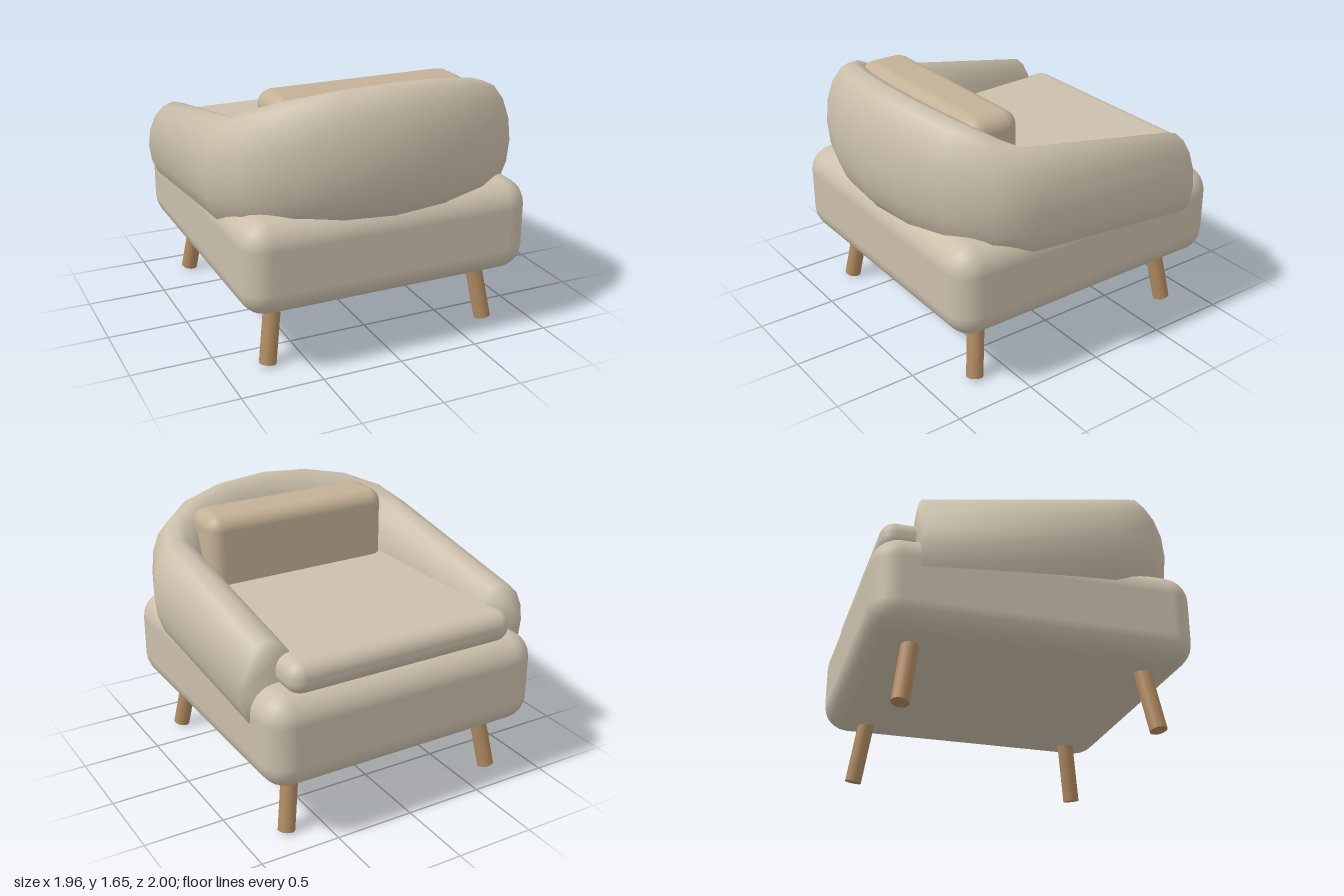
import * as THREE from 'three';
import { RoundedBoxGeometry } from 'three/addons/geometries/RoundedBoxGeometry.js';

const fabric = new THREE.MeshStandardMaterial({ color: 0xcbbfab });
const pillow = new THREE.MeshStandardMaterial({ color: 0xc3b196 });
const wood = new THREE.MeshStandardMaterial({ color: 0xb08a60 });

function addMesh(group, name, geometry, material, x = 0, y = 0, z = 0) {
  const mesh = new THREE.Mesh(geometry, material);
  mesh.name = name;
  mesh.position.set(x, y, z);
  group.add(mesh);
  return mesh;
}

// Elliptical roll swept along a U: straight arm, half-ellipse back, straight arm
function wrapGeometry() {
  const SIDES = 16, ARC = 8, HALF_WIDTH = 0.18;
  const END_Z = -0.74, TURN_Z = 0.42;
  const stations = [{ x: 0.8, z: END_Z, nx: 1, nz: 0, cy: 0.95, h: 0.275 }];
  for (let i = 0; i <= ARC; i++) {
    const a = (i / ARC) * Math.PI, c = Math.cos(a), s = Math.sin(a);
    const n = Math.hypot(0.4 * c, 0.8 * s);
    stations.push({
      x: 0.8 * c, z: TURN_Z + 0.4 * s,
      nx: 0.4 * c / n, nz: 0.8 * s / n,
      cy: 1.1 + 0.15 * s, h: 0.34 + 0.06 * s,
    });
  }
  stations.push({ ...stations[0], x: -0.8, nx: -1 });

  const pos = [], index = [];
  for (const p of stations) {
    for (let j = 0; j < SIDES; j++) {
      const t = (j / SIDES) * Math.PI * 2, r = HALF_WIDTH * Math.cos(t);
      pos.push(p.x + p.nx * r, p.cy + p.h * Math.sin(t), p.z + p.nz * r);
    }
  }
  const last = stations.length - 1;
  for (let i = 0; i < last; i++) {
    for (let j = 0; j < SIDES; j++) {
      const k = (j + 1) % SIDES;
      const a = i * SIDES + j, b = i * SIDES + k;
      index.push(a, b, a + SIDES, b, b + SIDES, a + SIDES);
    }
  }
  // Caps on the two arm ends, sharing the ring so the edge shades softly
  for (let j = 1; j < SIDES - 1; j++) {
    index.push(0, j + 1, j);
    index.push(last * SIDES, last * SIDES + j, last * SIDES + j + 1);
  }
  const g = new THREE.BufferGeometry();
  g.setAttribute('position', new THREE.Float32BufferAttribute(pos, 3));
  g.setIndex(index);
  g.computeVertexNormals();
  const normal = g.attributes.normal, v = new THREE.Vector3();
  for (const i of [0, last]) {
    for (let j = 0; j < SIDES; j++) {
      v.fromBufferAttribute(normal, i * SIDES + j);
      v.z = -0.6;
      v.normalize();
      normal.setXYZ(i * SIDES + j, v.x, v.y, v.z);
    }
  }
  return g;
}

export function createModel() {
  const model = new THREE.Group();
  model.name = 'armchair';

  addMesh(model, 'base', new RoundedBoxGeometry(1.84, 0.58, 1.92, 3, 0.16), fabric, 0, 0.67, -0.04);
  addMesh(model, 'seatCushion', new RoundedBoxGeometry(1.51, 0.2, 1.58, 3, 0.09), fabric, 0, 1.03, -0.15);
  addMesh(model, 'backCushion', new RoundedBoxGeometry(1.26, 0.56, 0.34, 3, 0.09), pillow, 0, 1.29, 0.47);
  const wrap = addMesh(model, 'armsAndBackrest', wrapGeometry(), fabric.clone());
  wrap.material.side = THREE.DoubleSide;

  // Four splayed round legs
  const up = new THREE.Vector3(0, 1, 0);
  for (const sx of [-1, 1]) {
    for (const sz of [-1, 1]) {
      const foot = new THREE.Vector3(sx * 0.73, 0.012, -0.04 + sz * 0.75);
      const top = new THREE.Vector3(sx * 0.66, 0.46, -0.04 + sz * 0.685);
      const axis = top.clone().sub(foot);
      const leg = addMesh(model, (sz < 0 ? 'front' : 'rear') + (sx > 0 ? 'LeftLeg' : 'RightLeg'),
        new THREE.CylinderGeometry(0.052, 0.052, axis.length(), 16), wood);
      leg.position.copy(foot).add(top).multiplyScalar(0.5);
      leg.quaternion.setFromUnitVectors(up, axis.normalize());
    }
  }
  return model;
}
